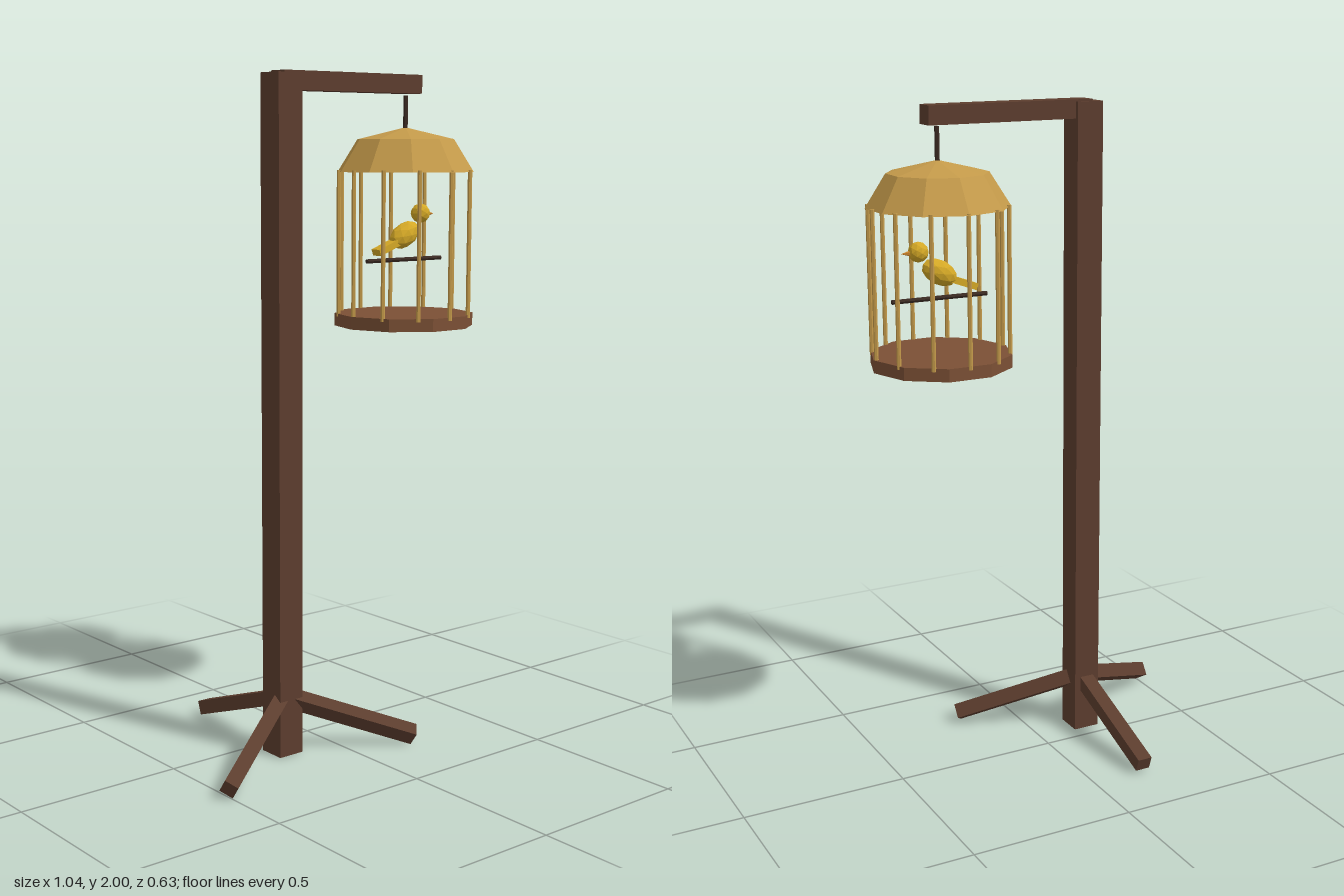
import * as THREE from 'three';

const mat = (name, color) => {
  const m = new THREE.MeshStandardMaterial({ color, flatShading: true });
  m.name = name;
  return m;
};

export function createModel() {
  const wood = mat('dark wood', 0x5c3d2e);
  const tray = mat('tray wood', 0x7b5035);
  const brass = mat('brass', 0xc49a4a);
  const iron = mat('dark iron', 0x3a2a22);
  const yellow = mat('bird yellow', 0xd4a826);
  const orange = mat('beak orange', 0xc9822a);

  const root = new THREE.Group();
  root.name = 'hangingBirdcage';
  const add = (name, geo, material, x, y, z, parent = root) => {
    const m = new THREE.Mesh(geo, material);
    m.name = name;
    m.position.set(x, y, z);
    parent.add(m);
    return m;
  };
  const Z = 0.087, POST_X = -0.164, CAGE_X = 0.308;

  // Post and arm
  add('post', new THREE.BoxGeometry(0.084, 1.994, 0.084), wood, POST_X, 0.997, Z);
  add('arm', new THREE.BoxGeometry(0.522, 0.055, 0.062), wood, 0.085, 1.9725, Z);

  // Three sloping feet, square beams swung from upright to their direction
  const up = new THREE.Vector3(0, 1, 0);
  for (let i = 0; i < 3; i++) {
    const a = -Math.PI / 2 + (i * Math.PI * 2) / 3;
    const start = new THREE.Vector3(POST_X, 0.172, Z);
    const end = new THREE.Vector3(POST_X + Math.cos(a) * 0.4, 0.03, Z + Math.sin(a) * 0.4);
    const dir = end.clone().sub(start);
    const mid = start.clone().add(end).multiplyScalar(0.5);
    const leg = add('foot', new THREE.BoxGeometry(0.046, dir.length(), 0.043), wood, mid.x, mid.y, mid.z);
    leg.quaternion.setFromUnitVectors(up, dir.normalize());
  }

  // Cage
  const cage = new THREE.Group();
  cage.name = 'cage';
  cage.position.set(CAGE_X, 0, Z);
  root.add(cage);

  add('hanger', new THREE.CylinderGeometry(0.007, 0.007, 0.11, 6), iron, 0, 1.885, 0, cage);
  const floor = add('cageFloor', new THREE.CylinderGeometry(0.211, 0.211, 0.038, 10), tray, 0, 1.27, 0, cage);
  floor.rotation.y = Math.PI / 2;

  // Ten-sided roof, closed underneath
  const roofProfile = [[0, 0], [0.209, 0], [0.148, 0.097], [0, 0.132]].map(p => new THREE.Vector2(...p));
  add('cageRoof', new THREE.LatheGeometry(roofProfile, 10), brass, 0, 1.714, 0, cage);

  // Bars
  const barGeo = new THREE.CylinderGeometry(0.0065, 0.0065, 0.44, 6);
  for (let i = 0; i < 12; i++) {
    const a = (i * Math.PI) / 6;
    add('bar', barGeo, brass, Math.cos(a) * 0.202, 1.5, Math.sin(a) * 0.202, cage);
  }

  // Perch
  const perch = add('perch', new THREE.CylinderGeometry(0.007, 0.007, 0.3, 6), iron, 0, 1.451, 0, cage);
  perch.rotation.z = Math.PI / 2;

  // Bird facing +x
  const bird = new THREE.Group();
  bird.name = 'bird';
  cage.add(bird);
  const body = add('birdBody', new THREE.IcosahedronGeometry(1, 1), yellow, 0, 1.525, 0, bird);
  body.scale.set(0.058, 0.036, 0.034);
  body.rotation.z = 0.5;
  add('birdHead', new THREE.IcosahedronGeometry(0.03, 1), yellow, 0.065, 1.589, 0, bird);
  const tail = add('birdTail', new THREE.BoxGeometry(0.085, 0.02, 0.036), yellow, -0.073, 1.49, 0, bird);
  tail.rotation.z = 0.35;
  const beak = add('birdBeak', new THREE.ConeGeometry(0.009, 0.03, 5), orange, 0.104, 1.587, 0, bird);
  beak.rotation.z = -Math.PI / 2;

  return root;
}
